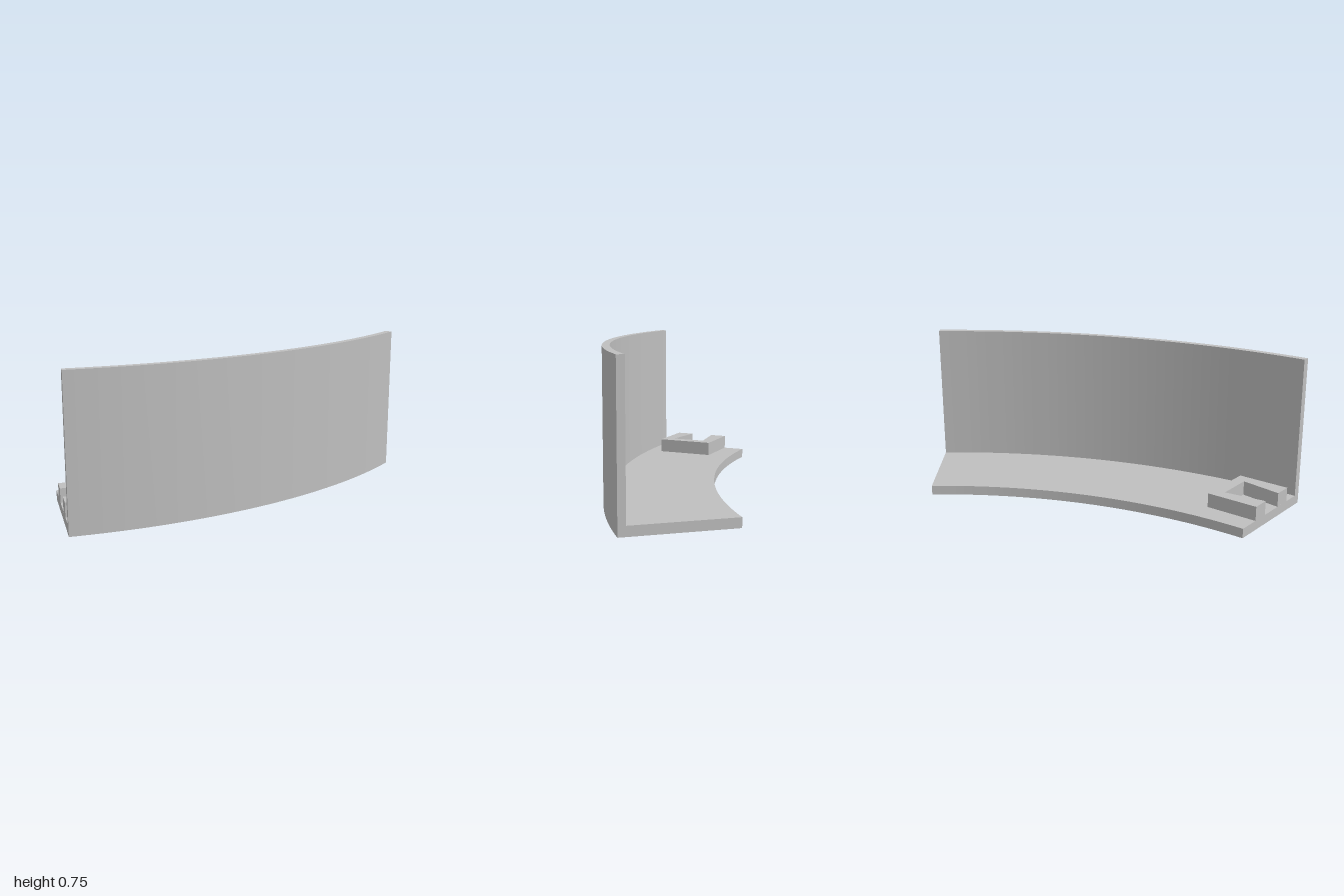
import * as THREE from 'three';

// Arc centre and angular limits shared by the floor and the wall
const CX = -2.558, CZ = -0.012;
const FRONT = THREE.MathUtils.degToRad(20.4);
const BACK = THREE.MathUtils.degToRad(19.9);
const R_INNER = 2.358, R_WALL = 2.866, R_OUTER = 2.903;
const FLOOR_H = 0.048, BRACKET_H = 0.12, WALL_H = 0.755;

export function createModel() {
  const group = new THREE.Group();
  const grey = new THREE.MeshStandardMaterial({ color: 0xbfbfbf });
  grey.name = 'plain grey';

  // Extrude a plan outline (drawn as x, -z) upwards from y0 to y1
  function addSlab(name, shape, y0, y1) {
    const geo = new THREE.ExtrudeGeometry(shape, { depth: y1 - y0, bevelEnabled: false, curveSegments: 20 });
    geo.rotateX(-Math.PI / 2);
    geo.translate(0, y0, 0);
    const mesh = new THREE.Mesh(geo, grey);
    mesh.name = name;
    group.add(mesh);
  }

  // Plan outline of a curved band between two radii
  function band(r0, r1) {
    const s = new THREE.Shape();
    s.absarc(CX, -CZ, r1, -FRONT, BACK, false);
    s.absarc(CX, -CZ, r0, BACK, -FRONT, true);
    s.closePath();
    return s;
  }

  // Curved floor and the tall wall along its outer edge
  addSlab('floor', band(R_INNER, R_WALL), 0, FLOOR_H);
  addSlab('wall', band(R_WALL, R_OUTER), 0, WALL_H);

  // U-shaped bracket with a tapered pocket, open at the front end
  const outline = [
    [-0.241, 0.85], [-0.157, 0.881], [-0.113, 0.675], [0.061, 0.738],
    [-0.04, 0.924], [0.045, 0.956], [0.135, 0.706], [-0.151, 0.6],
  ];
  const u = new THREE.Shape(outline.map(([x, z]) => new THREE.Vector2(x, -z)));
  addSlab('bracket', u, FLOOR_H, BRACKET_H);

  return group;
}
